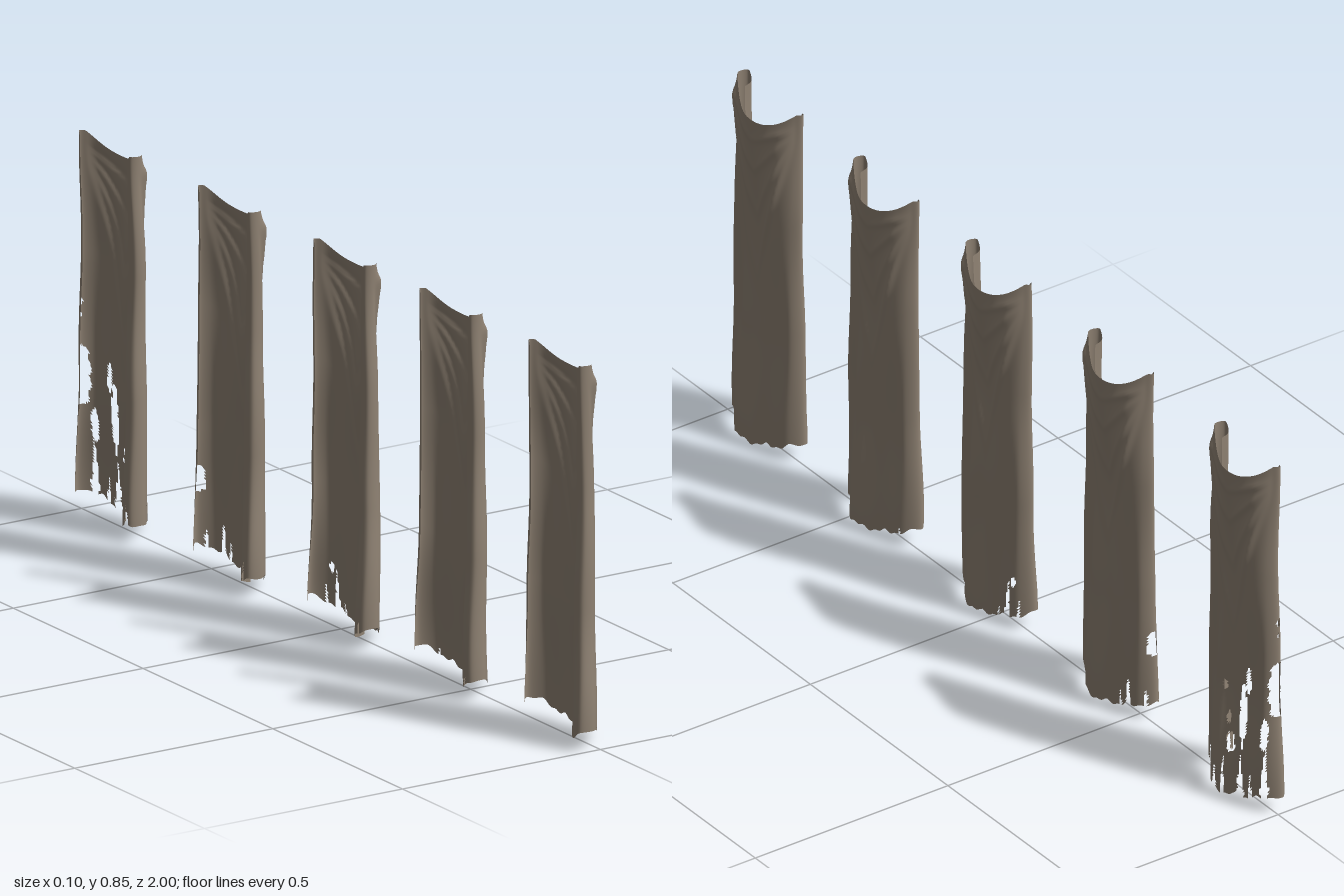
import * as THREE from 'three';

const SEG_U = 88, SEG_V = 120;

// cross-sections of the cloth as [z, x], from the +z edge to the -z edge, edges rolled back
const SECTIONS = [
  [[.082, -.004], [.088, -.026], [.106, -.030], [.112, -.012], [.098, .000], [.062, .022], [.030, .036], [.000, .040],
    [-.034, .034], [-.068, .018], [-.098, -.002], [-.110, -.018], [-.094, -.026]],
  [[.080, -.012], [.094, -.032], [.116, -.028], [.118, -.008], [.100, .008], [.070, .014], [.032, .022], [.000, .018],
    [-.034, .026], [-.070, .026], [-.102, .010], [-.116, -.012], [-.094, -.024]],
  [[.084, -.016], [.100, -.040], [.122, -.034], [.124, -.010], [.104, .010], [.076, .010], [.040, .034], [.004, .026],
    [-.036, .032], [-.074, .022], [-.106, .014], [-.122, -.012], [-.098, -.026]],
  [[.086, -.014], [.102, -.050], [.130, -.048], [.136, -.018], [.112, .006], [.080, .022], [.042, .048], [.004, .046],
    [-.038, .036], [-.080, .030], [-.112, .018], [-.134, -.010], [-.110, -.032]],
].map(s => new THREE.CatmullRomCurve3(s.map(([z, x]) => new THREE.Vector3(x, 0, z))).getPoints(SEG_U));

// V-shaped drape folds: [height at the middle, drop from the corners, strength]
const DRAPES = [[.765, .06, .006], [.69, .13, .007], [.58, .24, .007], [.43, .40, .006]];

// banners: centre z, hem notches [z, half width, height], holes [z, y, half width, half height]
const BANNERS = [
  { z: .862, notches: [[.118, .006, .06]], holes: [] },
  { z: .442, notches: [[.112, .008, .07], [-.10, .006, .06]], holes: [] },
  { z: .030, notches: [[-.085, .010, .13], [-.112, .007, .09], [.118, .007, .08], [-.06, .006, .06]],
    holes: [[-.098, .125, .006, .012]] },
  { z: -.413, notches: [[-.082, .010, .12], [-.06, .006, .08], [-.12, .006, .10], [.115, .009, .09]],
    holes: [[-.128, .2, .008, .03]] },
  { z: -.868, notches: [[.118, .010, .11], [.09, .008, .10], [.03, .008, .09], [.005, .008, .11], [-.045, .014, .13],
    [-.075, .008, .10], [-.11, .012, .18]],
  holes: [[-.048, .225, .010, .075], [-.012, .145, .015, .022], [.002, .2, .007, .016], [-.06, .315, .006, .035],
    [.02, .27, .006, .012], [-.122, .31, .013, .065], [-.13, .47, .010, .04], [-.105, .2, .008, .04]] },
];

const topEdge = z => .812 + .046 * Math.min(1, Math.pow(Math.abs(z) / .103, 2.6));
const hem = (z, k) => .016 + .034 * Math.pow(Math.abs(z - .005) / .12, 1.3)
  + .004 * Math.sin(z * 95 + k) + .003 * Math.sin(z * 210 + 2 * k);

// blend neighbouring cross-sections at depth t
function sectionPoint(i, t) {
  const f = t * (SECTIONS.length - 1), a = Math.min(Math.floor(f), SECTIONS.length - 2);
  return SECTIONS[a][i].clone().lerp(SECTIONS[a + 1][i], THREE.MathUtils.smoothstep(f - a, 0, 1));
}

function isTorn(z, y, { notches, holes }) {
  const rough = 1 + .25 * Math.sin(y * 170 + z * 90);
  return notches.some(([c, w, h]) => Math.abs(z - c) < w * rough * (1 - y / h))
    || holes.some(([cz, cy, w, h]) => ((z - cz) / w) ** 2 + ((y - cy) / h) ** 2 < rough);
}

function bannerGeometry(banner, k) {
  const pos = [], index = [];
  for (let j = 0; j <= SEG_V; j++) {
    const t = j / SEG_V;
    for (let i = 0; i <= SEG_U; i++) {
      const p = sectionPoint(i, t), side = Math.abs(p.z) / .11;
      const y = THREE.MathUtils.lerp(topEdge(p.z), hem(p.z, k), t);
      // sharp-edged folds sagging from the two top corners
      const front = THREE.MathUtils.smoothstep(i / SEG_U, .22, .34) * (1 - THREE.MathUtils.smoothstep(i / SEG_U, .74, .86));
      for (const [mid, drop, amp] of DRAPES) {
        const d = (y - (mid + drop * Math.pow(side, 1.15))) / (.012 + drop * .16);
        p.x += front * amp * (d > 0 ? Math.exp(-d * 1.6) : Math.exp(-d * d * 6)) * Math.min(1, .35 + side);
      }
      // slight differences between the banners
      p.x += .0025 * Math.sin(y * 13 + k * 1.7) * (1 - side * .5);
      pos.push(p.x, y, p.z + .002 * Math.sin(y * 17 + k * 2.3));
    }
  }
  const addFace = (a, b, c) => {
    const mean = o => (pos[a * 3 + o] + pos[b * 3 + o] + pos[c * 3 + o]) / 3;
    if (!isTorn(mean(2), mean(1), banner)) index.push(a, b, c);
  };
  for (let j = 0; j < SEG_V; j++) for (let i = 0; i < SEG_U; i++) {
    const a = j * (SEG_U + 1) + i, b = a + SEG_U + 1;
    addFace(a, b, a + 1);
    addFace(b, b + 1, a + 1);
  }
  const g = new THREE.BufferGeometry();
  g.setAttribute('position', new THREE.Float32BufferAttribute(pos, 3));
  g.setIndex(index);
  g.computeVertexNormals();
  return g;
}

export function createModel() {
  const group = new THREE.Group();
  group.name = 'hangingBanners';
  const cloth = new THREE.MeshStandardMaterial({ color: 0x8f8273, side: THREE.DoubleSide });
  cloth.name = 'taupe cloth';
  // row of hanging cloths, increasingly tattered towards the back
  BANNERS.forEach((b, k) => {
    const mesh = new THREE.Mesh(bannerGeometry(b, k), cloth);
    mesh.name = `clothBanner${k + 1}`;
    mesh.position.z = b.z;
    group.add(mesh);
  });
  return group;
}
